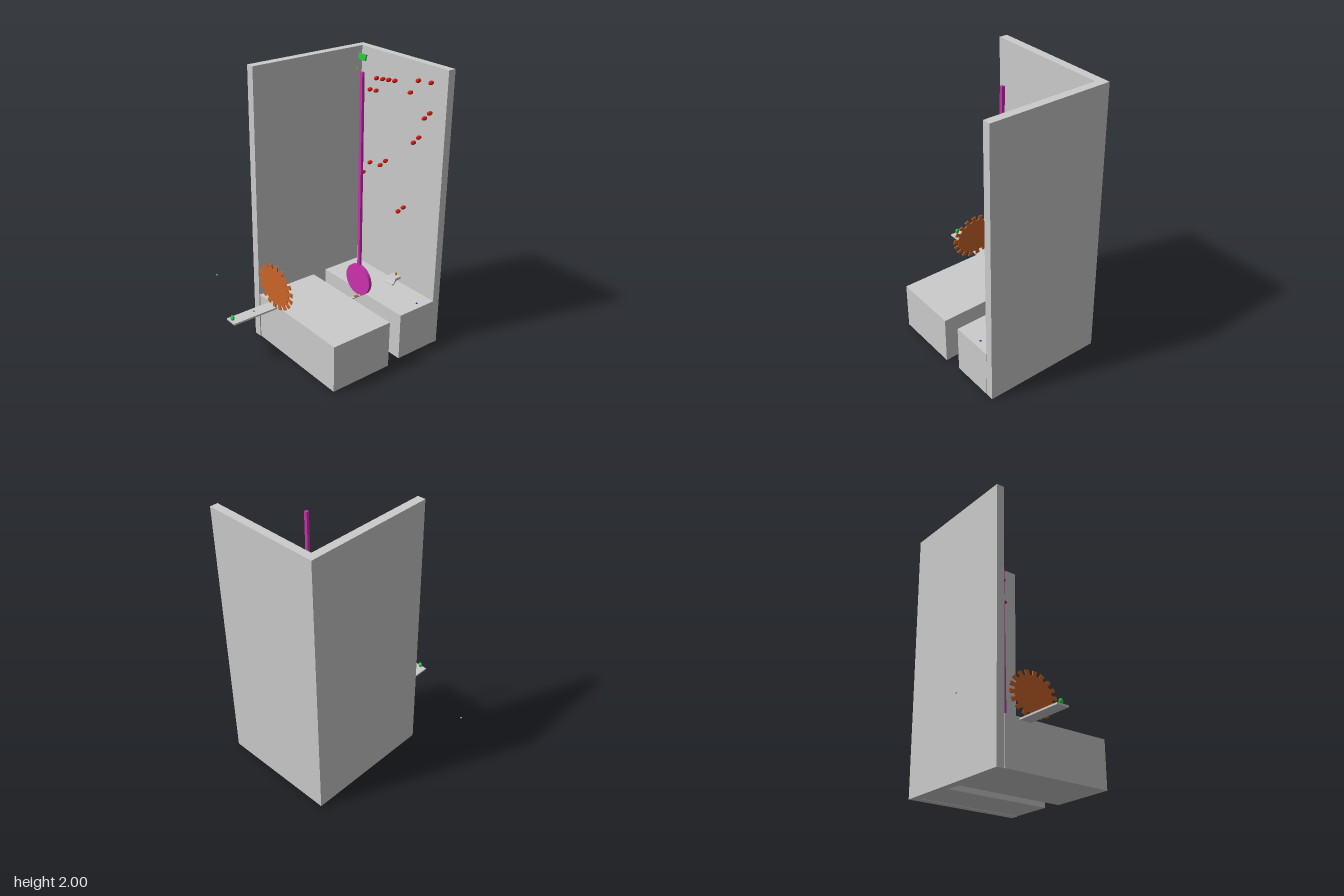
import * as THREE from 'three';

const mat = (color, extra = {}) => new THREE.MeshStandardMaterial({ color, ...extra });
const GREY = mat(0xcccccc);
const RED = mat(0xcc1a0e);
const ORANGE = mat(0xcc6529);
const MAGENTA = mat(0xcc33b0);
const GREEN = mat(0x2ecc40);
const YELLOW = mat(0xc9a227);
const BLUE = mat(0x2233bb);

export function createModel() {
  const root = new THREE.Group();
  root.name = 'pendulumRoom';

  const add = (name, geometry, material, x = 0, y = 0, z = 0, parent = root) => {
    const m = new THREE.Mesh(geometry, material);
    m.name = name;
    m.position.set(x, y, z);
    parent.add(m);
    return m;
  };
  // Box given by its minimum and maximum corners
  const box = (name, material, [x0, y0, z0], [x1, y1, z1]) =>
    add(name, new THREE.BoxGeometry(x1 - x0, y1 - y0, z1 - z0), material,
      (x0 + x1) / 2, (y0 + y1) / 2, (z0 + z1) / 2);
  const ellipsoid = (name, material, p, r) => {
    const m = add(name, new THREE.SphereGeometry(1, 20, 14), material, ...p);
    m.scale.set(...r);
    return m;
  };

  // Walls and the two platforms with a slot between them
  box('backWall', GREY, [-0.27, 0, -0.655], [0.61, 2, -0.598]);
  box('sideWall', GREY, [-0.27, 0, -0.6], [-0.21, 2, 0.31]);
  box('rearPlatform', GREY, [-0.21, 0.004, -0.6], [0.612, 0.35, -0.288]);
  box('frontPlatform', GREY, [-0.203, 0.004, -0.172], [0.632, 0.35, 0.307]);

  // Narrow bridge over the slot with a small pad
  box('bridge', GREY, [0.207, 0.337, -0.29], [0.232, 0.344, -0.17]);
  box('bridgePad', ORANGE, [0.213, 0.343, -0.24], [0.231, 0.349, -0.207]);

  // Plank sticking out at the front, with a ball and loose beads
  box('plank', GREY, [-0.09, 0.329, 0.3], [0.002, 0.342, 0.655]);
  ellipsoid('plankBall', GREEN, [-0.045, 0.361, 0.64], [0.016, 0.02, 0.012]);
  ellipsoid('plankBead', ORANGE, [-0.049, 0.347, 0.465], [0.006, 0.006, 0.006]);
  ellipsoid('looseBead', GREY, [-0.63, 0.35, 0.4], [0.006, 0.006, 0.006]);
  ellipsoid('platformBead', BLUE, [0.567, 0.356, -0.48], [0.006, 0.006, 0.006]);

  // Pendulum: slightly turned disc and a leaning square rod
  const pendulum = new THREE.Group();
  pendulum.name = 'pendulum';
  pendulum.position.set(0.22, 0.475, -0.246);
  pendulum.rotation.y = 0.05;
  root.add(pendulum);
  const bob = new THREE.CylinderGeometry(0.115, 0.115, 0.024, 48);
  bob.rotateX(Math.PI / 2);
  add('pendulumBob', bob, MAGENTA, 0, 0, 0, pendulum);
  const rod = add('pendulumRod', new THREE.BoxGeometry(0.022, 1.4, 0.021), MAGENTA,
    -0.008, 0.785, 0, pendulum);
  rod.rotation.z = 0.0148;

  // Thin oval gear
  const teeth = 18, step = (Math.PI * 2) / teeth, phase = 1.5;
  const gear = new THREE.Shape();
  for (let i = 0; i < teeth; i++) {
    const a = phase + i * step;
    [[-0.27, 0.8], [-0.25, 1], [0, 1], [0.25, 1], [0.27, 0.8]].forEach(([t, r], k) => {
      const b = a + t * step;
      const x = Math.cos(b) * 0.194 * r, y = Math.sin(b) * 0.162 * r;
      if (i === 0 && k === 0) gear.moveTo(x, y); else gear.lineTo(x, y);
    });
  }
  gear.closePath();
  add('gear', new THREE.ExtrudeGeometry(gear, { depth: 0.008, bevelEnabled: false }),
    ORANGE, 0.01, 0.514, 0.318);

  // Oval pegs on the back wall: x, y, z
  const pegs = [
    [-0.018, 1.815, -0.565], [0.037, 1.82, -0.572], [0.095, 1.828, -0.572], [0.15, 1.833, -0.577],
    [0.365, 1.882, -0.582], [0.479, 1.894, -0.582], [0.304, 1.79, -0.575], [0.487, 1.695, -0.577],
    [0.437, 1.647, -0.582], [0.402, 1.507, -0.575], [0.354, 1.457, -0.577], [-0.077, 1.724, -0.562],
    [-0.018, 1.728, -0.565], [0.087, 1.244, -0.579], [0.037, 1.196, -0.577], [-0.077, 1.181, -0.582],
    [-0.138, 1.089, -0.575], [0.299, 0.967, -0.567], [0.249, 0.919, -0.567],
  ];
  for (const p of pegs) {
    ellipsoid('peg', RED, p, [0.016, 0.013, 0.02]).rotation.x = 0.2;
  }

  // Flag near the top corner with a tiny fitting below it
  const flag = new THREE.Shape([
    [-0.215, 1.912], [-0.195, 1.912], [-0.188, 1.905], [-0.145, 1.905], [-0.132, 1.95], [-0.212, 1.95],
  ].map(([x, y]) => new THREE.Vector2(x, y)));
  add('flag', new THREE.ExtrudeGeometry(flag, { depth: 0.012, bevelEnabled: false }),
    GREEN, 0, 0, -0.579);
  for (const [x, y] of [[-0.185, 1.858], [-0.176, 1.86], [-0.18, 1.849]]) {
    add('flagFitting', new THREE.BoxGeometry(0.007, 0.007, 0.007), YELLOW, x, y, -0.533);
  }

  // Bent bracket: sloping front and a shelf reaching the back wall (profile in -z, y)
  const bracket = new THREE.Shape([
    [0.518, 0.35], [0.536, 0.35], [0.562, 0.378], [0.6, 0.378], [0.6, 0.397], [0.55, 0.397],
    [0.537, 0.362], [0.518, 0.358],
  ].map(([x, y]) => new THREE.Vector2(x, y)));
  const bracketGeo = new THREE.ExtrudeGeometry(bracket, { depth: 0.075, bevelEnabled: false });
  bracketGeo.rotateY(Math.PI / 2);
  add('bracket', bracketGeo, GREY, 0.2, 0, 0);
  add('bracketKnob', new THREE.BoxGeometry(0.009, 0.022, 0.012), YELLOW, 0.237, 0.407, -0.588);

  return root;
}
